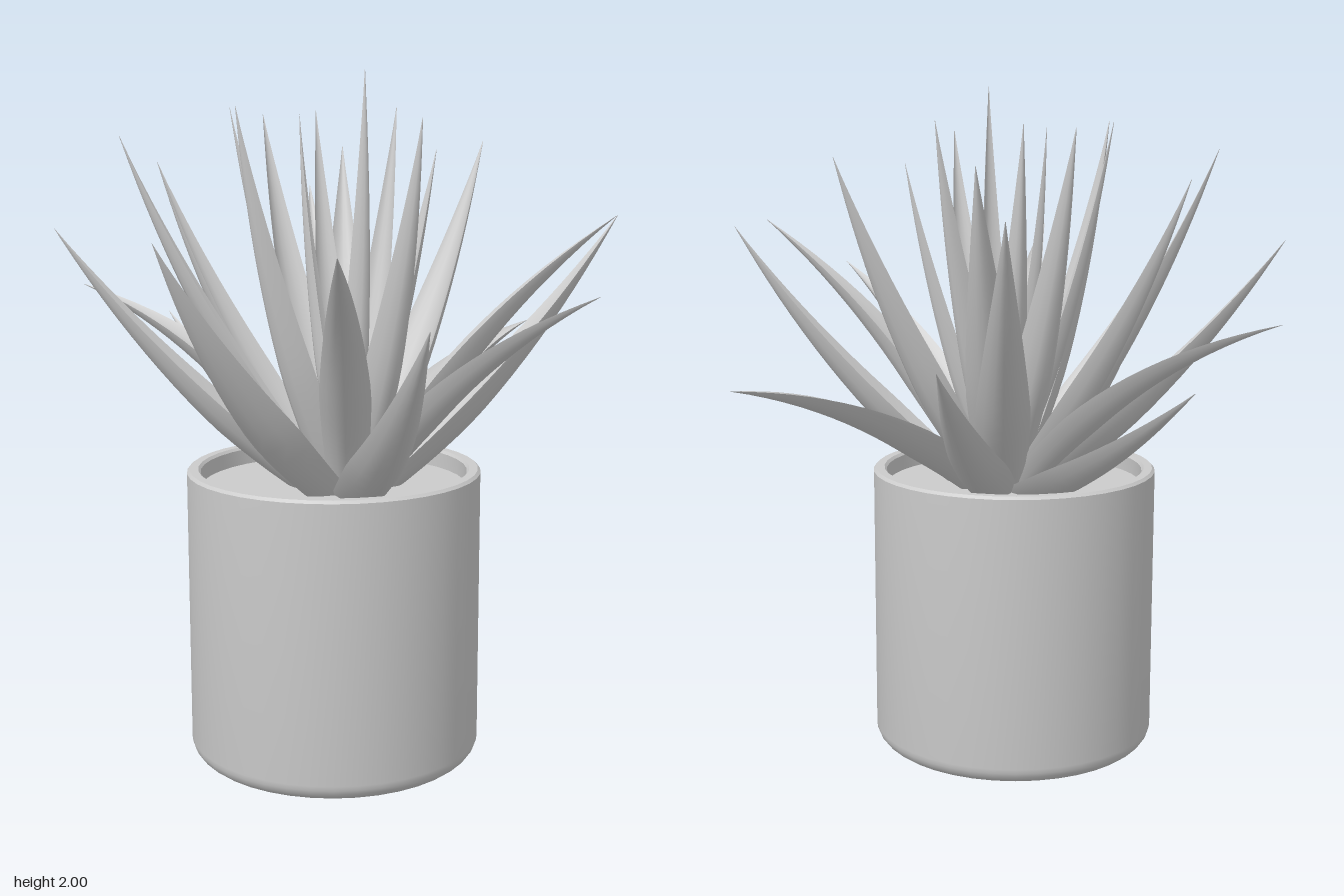
import * as THREE from 'three';
import { toCreasedNormals } from 'three/addons/utils/BufferGeometryUtils.js';

const material = new THREE.MeshStandardMaterial({ color: 0xcccccc, side: THREE.DoubleSide });
const CENTRE = new THREE.Vector3(0.06, 0.77, 0.12); // heart of the rosette

// Tip x, y, z, bow (positive arches over, negative sweeps upward), half width
const OUTER = [
  [-0.05, 1.2, -0.85, 0.15, 0.086], [-0.6, 1.29, -0.57, -0.1, 0.082], [0.53, 1.59, -0.53, -0.09, 0.085],
  [0.645, 1.6, -0.36, 0.13, 0.078], [0.92, 1.43, 0.09, 0.14, 0.074], [0.8, 1.38, 0.59, -0.14, 0.085],
  [0.645, 1.55, 0.74, 0.2, 0.072], [0.1, 1.56, 0.85, -0.11, 0.093], [-0.54, 1.56, 0.7, -0.09, 0.082],
  [-0.81, 1.36, 0.41, 0.17, 0.076], [-0.92, 1.23, -0.01, -0.08, 0.076],
];
const MIDDLE = [
  [-0.585, 1.65, -0.35, -0.08, 0.08], [0.08, 1.8, -0.45, -0.08, 0.078], [-0.36, 1.78, -0.28, -0.08, 0.078],
  [-0.52, 1.74, 0.34, -0.09, 0.07], [-0.37, 1.82, 0.59, -0.09, 0.07], [0.41, 1.87, 0.19, -0.09, 0.066],
  [-0.37, 1.88, 0.05, -0.08, 0.07], [0.02, 1.9, 0.5, -0.08, 0.066],
];
const INNER = [
  [-0.13, 1.9, 0.39, -0.06, 0.05], [-0.04, 1.9, -0.19, -0.06, 0.055], [0.13, 1.78, -0.18, -0.05, 0.05],
  [-0.16, 1.89, 0.03, -0.05, 0.052], [-0.05, 1.88, 0.2, -0.04, 0.045], [0.13, 2.0, 0.12, -0.04, 0.05],
];

// Half width along the leaf: broad at the base, fullest low down, pointed at the tip
function halfWidth(t, w) {
  const base = 0.72 + 0.28 * Math.sin(Math.min(t / 0.35, 1) * Math.PI / 2);
  const taper = t < 0.35 ? 1 : 1 - Math.pow((t - 0.35) / 0.65, 1.2);
  return Math.max(w * base * taper, 0.0008);
}

// Fleshy leaf: hollow upper face and rounded underside swept along a curve
function leafGeometry([x, y, z, bow, width], spread) {
  const tip = new THREE.Vector3(x, y, z);
  const out = new THREE.Vector3(x - CENTRE.x, 0, z - CENTRE.z).normalize();
  const side = new THREE.Vector3(-out.z, 0, out.x);
  const base = CENTRE.clone().addScaledVector(out, spread);
  const chord = tip.clone().sub(base).normalize();
  const bend = side.clone().cross(chord).normalize();
  const control = base.clone().lerp(tip, 0.5).addScaledVector(bend, bow);
  const path = new THREE.QuadraticBezierCurve3(base, control, tip);

  const rows = 18, cols = 8, positions = [], indices = [];
  for (const face of ['upper', 'lower']) {
    const start = positions.length / 3;
    for (let i = 0; i <= rows; i++) {
      const t = i / rows;
      const p = path.getPoint(t);
      const normal = side.clone().cross(path.getTangent(t)).normalize();
      const hw = halfWidth(t, width);
      for (let j = 0; j <= cols; j++) {
        const u = -Math.cos(j / cols * Math.PI);
        const v = face === 'upper' ? 0.5 * u * u - 0.15 : 0.95 * u * u - 0.6;
        const q = p.clone().addScaledVector(side, u * hw).addScaledVector(normal, v * hw);
        positions.push(q.x, q.y, q.z);
      }
    }
    for (let i = 0; i < rows; i++) {
      for (let j = 0; j < cols; j++) {
        const a = start + i * (cols + 1) + j, b = a + 1, c = a + cols + 1, d = c + 1;
        if (face === 'upper') indices.push(a, b, c, b, d, c);
        else indices.push(a, c, b, b, c, d);
      }
    }
  }
  const geometry = new THREE.BufferGeometry();
  geometry.setAttribute('position', new THREE.Float32BufferAttribute(positions, 3));
  geometry.setIndex(indices);
  geometry.computeVertexNormals();
  return geometry;
}

function leafRing(name, leaves, spread) {
  const ring = new THREE.Group();
  ring.name = name + 'Leaves';
  leaves.forEach((spec, i) => {
    const leaf = new THREE.Mesh(leafGeometry(spec, spread), material);
    leaf.name = name + 'Leaf' + (i + 1);
    ring.add(leaf);
  });
  return ring;
}

function lathe(name, points, segments) {
  const profile = points.map(([r, y]) => new THREE.Vector2(r, y));
  const mesh = new THREE.Mesh(toCreasedNormals(new THREE.LatheGeometry(profile, segments), 0.6), material);
  mesh.name = name;
  mesh.position.set(0.02, 0, 0.137);
  return mesh;
}

export function createModel() {
  const model = new THREE.Group();
  model.name = 'pottedSucculent';

  // Pot with rounded foot, thin rim and inner wall
  const profile = [[0, 0]];
  for (let i = 0; i <= 6; i++) {
    const a = i / 6 * Math.PI / 2;
    profile.push([0.377 + 0.053 * Math.sin(a), 0.053 - 0.053 * Math.cos(a)]);
  }
  profile.push([0.43, 0.857], [0.422, 0.865], [0.397, 0.865], [0.39, 0.857], [0.39, 0.78]);
  model.add(lathe('pot', profile, 40));

  // Soil
  model.add(lathe('soil', [[0.391, 0.81], [0, 0.81]], 40));

  // Rosette of leaves
  model.add(leafRing('outer', OUTER, 0.05));
  model.add(leafRing('middle', MIDDLE, 0.03));
  model.add(leafRing('inner', INNER, 0));
  return model;
}
